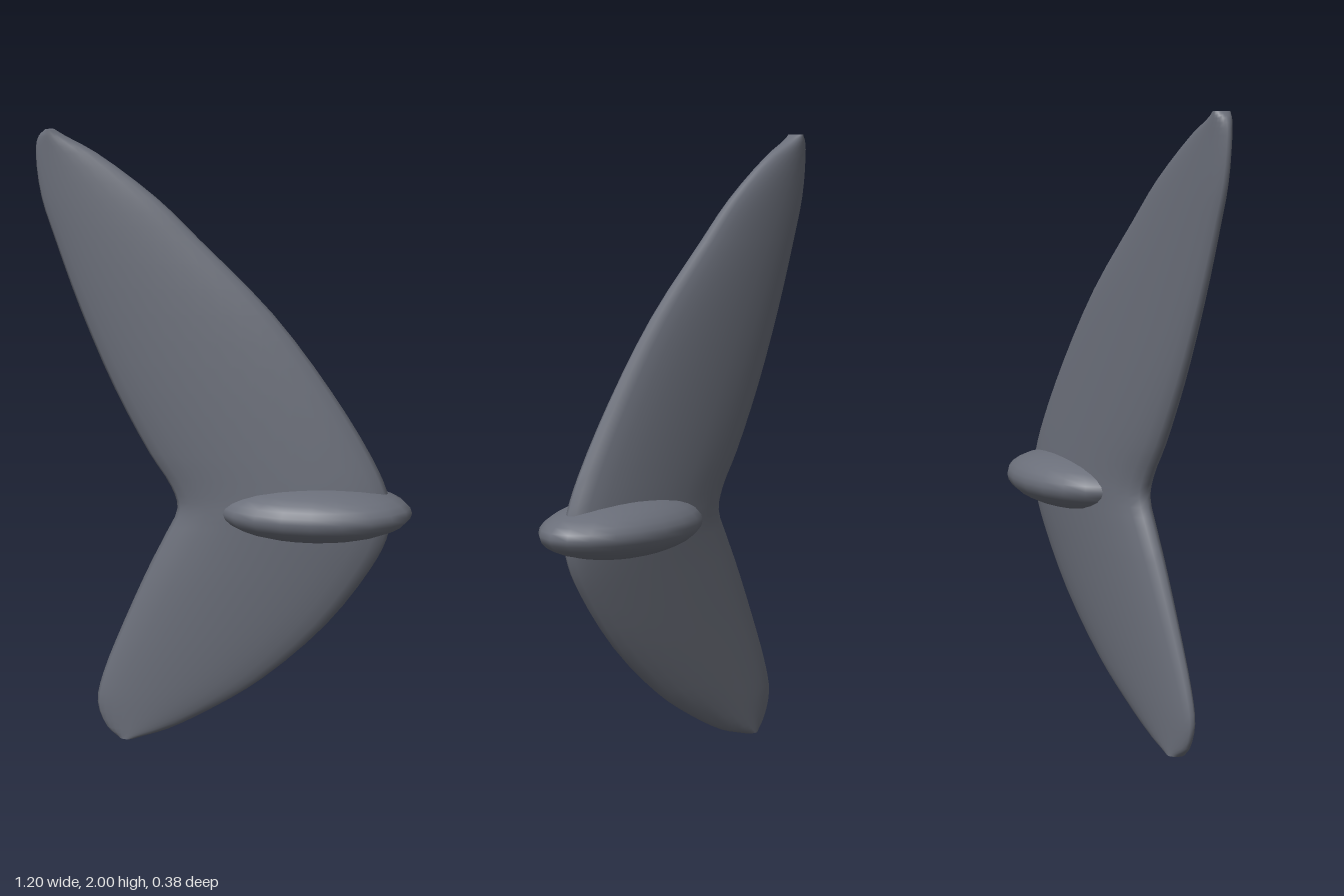
import * as THREE from 'three';

// Fin outline: height, trailing edge x, leading edge x
const OUTLINE = [
  [0, -0.36, -0.30], [0.035, -0.40, -0.19], [0.12, -0.43, -0.03], [0.22, -0.41, 0.12],
  [0.41, -0.335, 0.325], [0.6, -0.25, 0.465], [0.7, -0.20, 0.515], [0.79, -0.16, 0.53],
  [0.86, -0.18, 0.515], [0.97, -0.25, 0.465], [1.18, -0.36, 0.335], [1.43, -0.465, 0.145],
  [1.66, -0.545, -0.085], [1.79, -0.585, -0.22], [1.93, -0.60, -0.41], [1.98, -0.59, -0.505],
  [2, -0.57, -0.54],
];
const ROOT_Y = 0.79;
const SIDES = 24;
const ROWS = 48;

// Half thickness tapers evenly from the root to each tip
function halfThickness(y) {
  const t = y > ROOT_Y ? (y - ROOT_Y) / (2 - ROOT_Y) : (ROOT_Y - y) / ROOT_Y;
  return 0.083 - 0.053 * t;
}

// Loft of elliptical sections stacked in y, with flat caps at the tips
function finGeometry() {
  const curve = new THREE.CatmullRomCurve3(OUTLINE.map(([y, trail, lead]) => new THREE.Vector3(trail, y, lead)));
  const pos = [];
  const index = [];
  const addRing = (p) => {
    const start = pos.length / 3;
    for (let i = 0; i < SIDES; i++) {
      const a = (i / SIDES) * Math.PI * 2;
      pos.push((p.x + p.z) / 2 + ((p.z - p.x) / 2) * Math.cos(a), p.y, halfThickness(p.y) * Math.sin(a));
    }
    return start;
  };
  for (let r = 0; r <= ROWS; r++) {
    const s = addRing(curve.getPoint(r / ROWS));
    if (r === 0) continue;
    for (let i = 0; i < SIDES; i++) {
      const j = (i + 1) % SIDES;
      const a = s - SIDES + i, b = s - SIDES + j, c = s + i, d = s + j;
      index.push(a, c, b, b, c, d);
    }
  }
  // Caps have their own vertices so the tip edges stay crisp
  for (const t of [0, 1]) {
    const s = addRing(curve.getPoint(t));
    for (let i = 1; i < SIDES - 1; i++) {
      if (t === 0) index.push(s, s + i, s + i + 1);
      else index.push(s, s + i + 1, s + i);
    }
  }
  const geo = new THREE.BufferGeometry();
  geo.setAttribute('position', new THREE.Float32BufferAttribute(pos, 3));
  geo.setIndex(index);
  geo.computeVertexNormals();
  return geo;
}

export function createModel() {
  const group = new THREE.Group();
  group.name = 'tailFin';
  const slate = new THREE.MeshStandardMaterial({ color: 0x6a6e79 });
  slate.name = 'slateGrey';

  // Upper and lower lobes in one continuous skin
  const fin = new THREE.Mesh(finGeometry(), slate);
  fin.name = 'tailLobes';
  group.add(fin);

  // Flattened keel around the root
  const keel = new THREE.Mesh(new THREE.SphereGeometry(1, 20, 16), slate);
  keel.name = 'keel';
  keel.scale.set(0.313, 0.094, 0.19);
  keel.position.set(0.283, ROOT_Y, 0);
  group.add(keel);

  return group;
}
